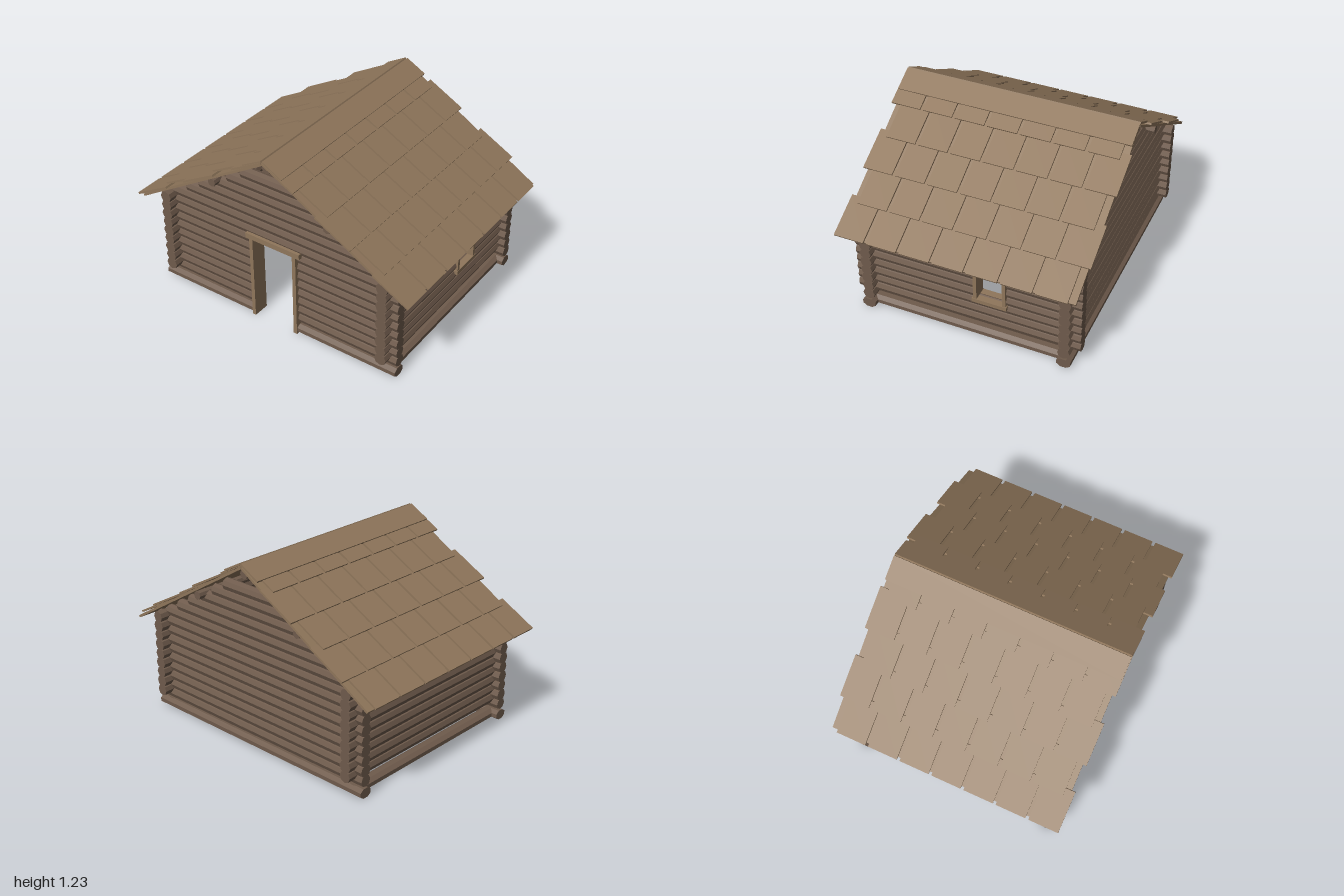
import * as THREE from 'three';

const logMat = new THREE.MeshStandardMaterial({ color: 0x6f5b4c, flatShading: true });
const plankMat = new THREE.MeshStandardMaterial({ color: 0x8f765b, flatShading: true });

const PITCH = 0.0644; // vertical spacing of stacked logs
const R = 0.04;       // log radius

// Eight-sided log along 'x' or 'z' from a to b, slightly tapered
function log(name, axis, a, b, u, y, r0 = R, r1 = r0 * 0.94) {
  const geo = new THREE.CylinderGeometry(r1, r0, Math.abs(b - a), 8);
  if (axis === 'x') geo.rotateZ(-Math.PI / 2);
  else geo.rotateX(Math.PI / 2);
  const mesh = new THREE.Mesh(geo, logMat);
  const mid = (a + b) / 2;
  mesh.position.set(axis === 'x' ? mid : u, y, axis === 'x' ? u : mid);
  mesh.name = name;
  return mesh;
}

function plank(name, x0, x1, y0, y1, z0, z1) {
  const mesh = new THREE.Mesh(new THREE.BoxGeometry(x1 - x0, y1 - y0, z1 - z0), plankMat);
  mesh.position.set((x0 + x1) / 2, (y0 + y1) / 2, (z0 + z1) / 2);
  mesh.name = name;
  return mesh;
}

// Board whose underside runs from (x0, y0) down to (x1, y1), on roof side s
function slopedBoard(name, s, x0, y0, x1, y1, t, z0, z1) {
  const angle = Math.atan2(y1 - y0, x1 - x0);
  const geo = new THREE.BoxGeometry(Math.hypot(x1 - x0, y1 - y0), t, z1 - z0);
  geo.translate(0, t / 2, 0);
  const mesh = new THREE.Mesh(geo, plankMat);
  mesh.position.set(s * (x0 + x1) / 2, (y0 + y1) / 2, (z0 + z1) / 2);
  mesh.rotation.z = s * angle;
  mesh.name = name;
  return mesh;
}

function group(name, parent) {
  const g = new THREE.Group();
  g.name = name;
  parent.add(g);
  return g;
}

export function createModel() {
  const cabin = new THREE.Group();
  cabin.name = 'logCabin';

  // Front and back walls with stepped gables; the front is cut for the door
  const gableHalf = [0.78, 0.67, 0.565, 0.45, 0.34, 0.235];
  for (const s of [1, -1]) {
    const wall = group(s > 0 ? 'frontWall' : 'backWall', cabin);
    for (let i = 0; i < 15; i++) {
      const y = 0.11 + PITCH * i;
      const h = i < 9 ? 0.88 : gableHalf[i - 9];
      const [r0, r1] = i % 2 ? [R, R * 0.94] : [R * 0.94, R];
      if (s > 0 && i < 8) {
        wall.add(log('wallLog', 'x', -h, -0.165, 0.65, y, r0, R * 0.97));
        wall.add(log('wallLog', 'x', 0.165, h, 0.65, y, R * 0.97, r1));
      } else wall.add(log('wallLog', 'x', -h, h, s * 0.65, y, r0, r1));
    }
  }

  // Side walls; the +x wall is cut for the window
  for (const s of [1, -1]) {
    const wall = group(s > 0 ? 'leftWall' : 'rightWall', cabin);
    for (let i = 0; i < 9; i++) {
      const y = 0.142 + PITCH * i;
      const [r0, r1] = i % 2 ? [R, R * 0.94] : [R * 0.94, R];
      if (s > 0 && i >= 3 && i <= 5) {
        wall.add(log('wallLog', 'z', -0.74, -0.258, s * 0.8, y, r0, R * 0.97));
        wall.add(log('wallLog', 'z', -0.062, 0.74, s * 0.8, y, R * 0.97, r1));
      } else wall.add(log('wallLog', 'z', -0.74, 0.74, s * 0.8, y, r0, r1));
    }
  }

  // Flattened sill beams on the ground
  const sills = group('sills', cabin);
  const sill = (axis, a, b, u) => {
    const m = log('sillBeam', axis, a, b, u, 0.031, 0.047, 0.047);
    m.geometry.rotateX(axis === 'x' ? Math.PI / 8 : 0);
    if (axis === 'z') m.geometry.rotateZ(Math.PI / 8);
    m.scale.y = 0.71;
    sills.add(m);
  };
  sill('x', -0.88, 0.88, -0.65);
  sill('x', -0.88, -0.165, 0.655);
  sill('x', 0.165, 0.88, 0.655);
  for (const s of [1, -1]) sill('z', -0.67, 0.67, s * 0.8);

  // Door frame
  const door = group('doorFrame', cabin);
  for (const s of [1, -1]) door.add(plank('doorJamb', s * 0.16 - 0.0125, s * 0.16 + 0.0125, 0, 0.58, 0.595, 0.705));
  door.add(plank('doorLintel', -0.2, 0.2, 0.58, 0.615, 0.595, 0.705));

  // Window frame
  const win = group('windowFrame', cabin);
  for (const y of [0.28, 0.488]) win.add(plank('windowRail', 0.748, 0.852, y, y + 0.026, -0.272, -0.046));
  for (const z of [-0.265, -0.077]) win.add(plank('windowStile', 0.752, 0.848, 0.306, 0.488, z, z + 0.022));

  // Ridge pole and purlins
  const poles = group('roofPoles', cabin);
  poles.add(log('ridgePole', 'z', -0.73, 0.73, 0, 1.152, 0.03, 0.03));
  for (const s of [1, -1]) poles.add(log('purlin', 'z', -0.73, 0.73, s * 0.42, 0.905, 0.028, 0.028));

  // Roof: underlay, staggered overlapping shingles and ridge cap, mirrored
  const base = x => 1.208 - 0.6 * x;
  for (const s of [1, -1]) {
    const roof = group(s > 0 ? 'leftRoof' : 'rightRoof', cabin);
    roof.add(slopedBoard('roofUnderlay', s, 0, base(0) - 0.018, 0.97, base(0.97) - 0.018, 0.015, -0.752, 0.752));
    for (let k = 0; k < 5; k++) {
      const x1 = 0.994 - 0.194 * k;
      const x0 = Math.max(x1 - 0.24, 0);
      const zEnd = k % 2 ? 0.715 : 0.775;
      for (let j = 0; j < 7; j++) {
        const z = zEnd - 0.215 * j;
        roof.add(slopedBoard('shingle', s, x0, base(x0), x1, base(x1) + 0.013, 0.012, z - 0.195, z));
      }
    }
    roof.add(slopedBoard('ridgeCap', s, 0, 1.216, 0.135, 1.143, 0.013, -0.755, 0.77));
  }
  return cabin;
}
